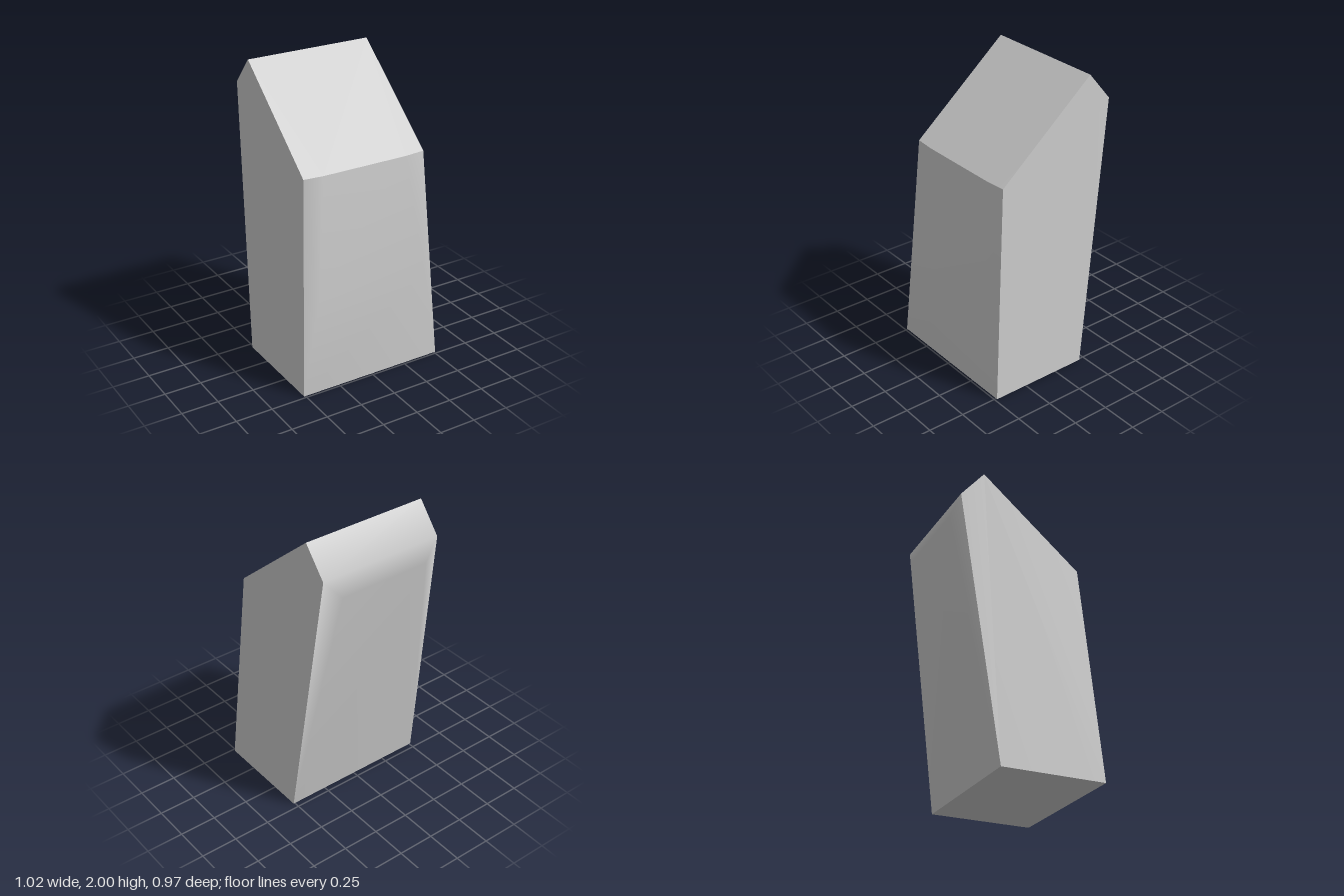
import * as THREE from 'three';

// Corner points of the left (+x) half; the right half is mirrored
const P = {
  frontBase: [0.51, 0, 0.485],
  frontBulge: [0.395, 0.65, 0.485],
  frontInner: [0.3, 1.436, 0.381],
  frontTop: [0.435, 1.44, 0.375],
  peak: [0.435, 2, -0.29],
  backTop: [0.435, 1.81, -0.45],
  backInner: [0.32, 1.68, -0.485],
  backBase: [0.51, 0, -0.21],
};
const NAMES = Object.keys(P);

// A panel has a chain of rows spanning the width plus triangles mirrored on both sides.
// Shared vertices within one panel give it smooth normals.
function panel(name, rows, tris, material) {
  const positions = [];
  const index = [];
  const slots = new Map();
  const id = (key, side) => {
    const slot = key + side;
    if (!slots.has(slot)) {
      const [x, y, z] = P[key];
      slots.set(slot, positions.length / 3);
      positions.push(x * side, y, z);
    }
    return slots.get(slot);
  };
  for (let i = 0; i + 1 < rows.length; i++) {
    const a = id(rows[i], -1), b = id(rows[i], 1);
    const c = id(rows[i + 1], 1), d = id(rows[i + 1], -1);
    index.push(a, b, c, a, c, d);
  }
  for (const [a, b, c] of tris) {
    index.push(id(a, 1), id(b, 1), id(c, 1));
    index.push(id(a, -1), id(c, -1), id(b, -1));
  }
  const geometry = new THREE.BufferGeometry();
  geometry.setAttribute('position', new THREE.Float32BufferAttribute(positions, 3));
  geometry.setIndex(index);
  geometry.computeVertexNormals();
  const mesh = new THREE.Mesh(geometry, material);
  mesh.name = name;
  return mesh;
}

export function createModel() {
  const grey = new THREE.MeshStandardMaterial({ color: 0xcccccc });
  grey.name = 'light grey';
  const [fBase, fBulge, fInner, fTop, peak, bTop, bInner, bBase] = NAMES;

  const model = new THREE.Group();
  model.name = 'slantedBlock';
  model.add(
    // Front with a slight bulge and softened side bands
    panel('frontPanel', [fBase, fBulge, fInner],
      [[fBase, fTop, fBulge], [fTop, fInner, fBulge]], grey),
    // Sloping flat top
    panel('slopedTop', [fInner, peak], [[fInner, fTop, peak]], grey),
    // Back with its rounded shoulder and side bevels
    panel('backPanel', [peak, bTop, bInner, bBase], [[bInner, bTop, bBase]], grey),
    // Underside
    panel('base', [bBase, fBase], [], grey),
    // Flat left and right sides
    panel('sidePanels', [],
      [[fBase, bBase, peak], [fBase, peak, fTop], [bBase, bTop, peak]], grey),
  );
  return model;
}
